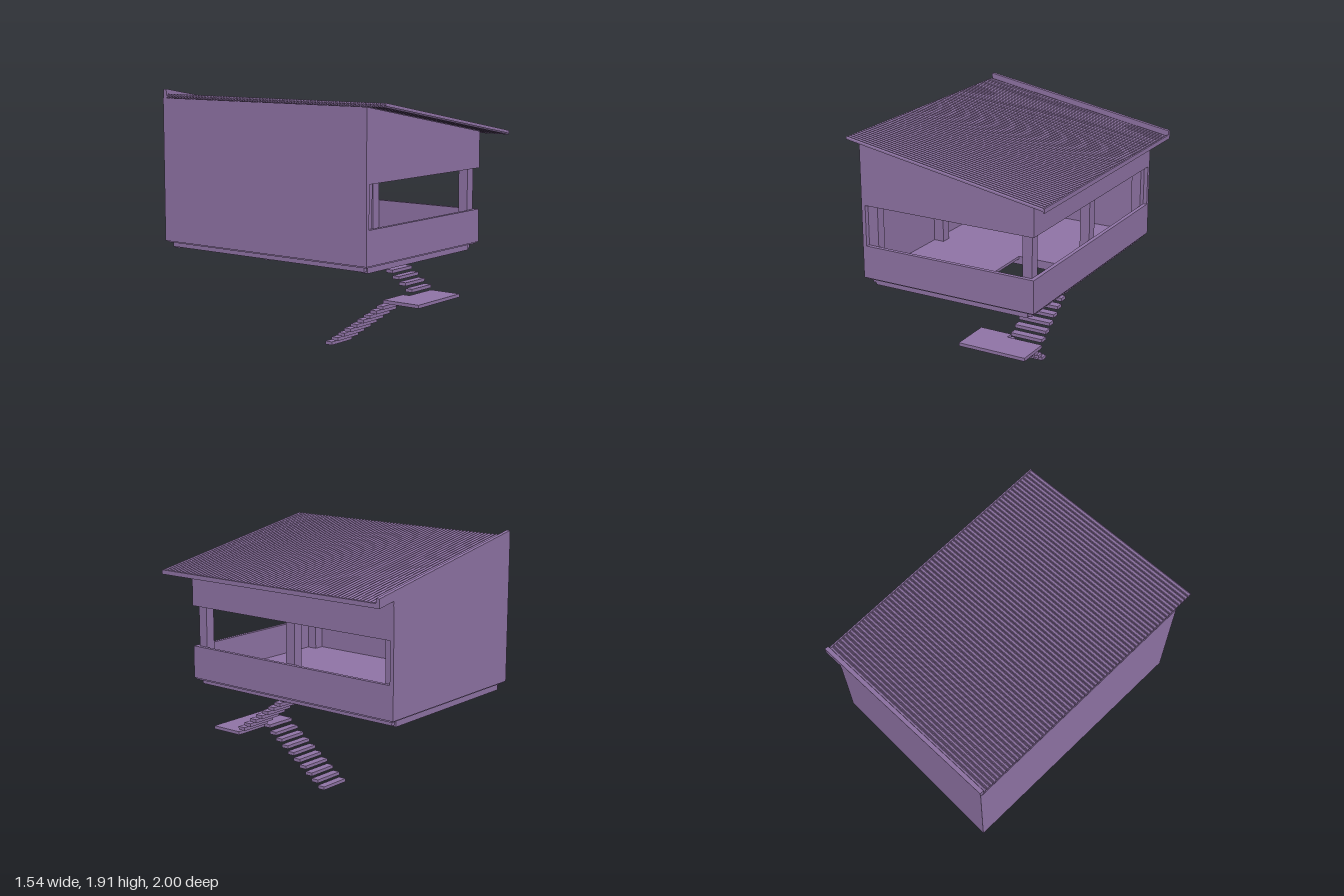
import * as THREE from 'three';

export function createModel() {
  const model = new THREE.Group();
  const purple = new THREE.MeshStandardMaterial({ color: 0x9074a6, side: THREE.DoubleSide });
  purple.name = 'purple';

  const SLOPE = 0.174;
  const roofY = (x) => 1.573 + (0.767 - x) * SLOPE; // underside of the roof

  function add(name, geometry) {
    const mesh = new THREE.Mesh(geometry, purple);
    mesh.name = name;
    model.add(mesh);
    return mesh;
  }
  // box given by its limits on each axis
  function box(name, x0, x1, y0, y1, z0, z1) {
    const g = new THREE.BoxGeometry(x1 - x0, y1 - y0, z1 - z0);
    g.translate((x0 + x1) / 2, (y0 + y1) / 2, (z0 + z1) / 2);
    return add(name, g);
  }
  // tilts a geometry built around y = 0 to the roof pitch
  function pitch(g, lift) {
    const p = g.attributes.position;
    for (let i = 0; i < p.count; i++) p.setY(i, p.getY(i) + roofY(p.getX(i)) + lift);
    g.computeVertexNormals();
    return g;
  }
  function slopedBox(name, x0, x1, y0, y1, z0, z1) {
    const g = new THREE.BoxGeometry(x1 - x0, y1 - y0, z1 - z0);
    g.translate((x0 + x1) / 2, (y0 + y1) / 2, (z0 + z1) / 2);
    return add(name, pitch(g, 0));
  }
  // panel with a level bottom and a top that follows the roof
  function gable(name, x0, x1, y0, z0, z1) {
    const s = new THREE.Shape([
      new THREE.Vector2(x0, y0), new THREE.Vector2(x1, y0),
      new THREE.Vector2(x1, roofY(x1)), new THREE.Vector2(x0, roofY(x0)),
    ]);
    const g = new THREE.ExtrudeGeometry(s, { depth: z1 - z0, bevelEnabled: false });
    g.translate(0, 0, z0);
    return add(name, g);
  }

  // Walls: solid at the back and on the high side, banded around the openings
  box('backWall', -0.77, 0.61, 0.787, 1.565, -1, -0.97);
  gable('backGable', -0.77, 0.615, 1.565, -1, -0.97);
  box('highSideWall', -0.77, -0.74, 0.787, 1.565, -0.97, 0.85);
  gable('highSideTop', -0.77, -0.74, 1.565, -0.97, 0.82);
  box('frontParapet', -0.74, 0.61, 0.787, 1.03, 0.82, 0.85);
  box('frontLintel', -0.74, 0.61, 1.333, 1.565, 0.82, 0.85);
  gable('frontGable', -0.77, 0.615, 1.565, 0.82, 0.85);
  box('lowSideParapet', 0.58, 0.61, 0.787, 1.03, -0.97, 0.82);
  box('lowSideLintel', 0.58, 0.61, 1.333, 1.565, -0.97, 0.82);
  gable('lowSideTop', 0.58, 0.61, 1.565, -0.97, 0.82);

  // Posts, with a rafter and a floor joist on each row
  for (const [z0, z1] of [[0.74, 0.815], [-0.115, -0.035], [-0.97, -0.91]]) {
    for (const [x0, x1] of [[-0.74, -0.66], [0.505, 0.58]]) {
      box('post', x0, x1, 0.787, 1.58, z0, z1);
    }
    slopedBox('rafter', -0.74, 0.58, -0.06, 0, z0, z1);
  }
  for (const z of [0.78, -0.072, -0.947]) {
    box('joist', -0.70, 0.54, 0.73, 0.785, z - 0.027, z + 0.027);
  }
  for (const [x0, x1] of [[-0.73, -0.68], [0.52, 0.57]]) {
    box('sideBeam', x0, x1, 0.742, 0.787, -0.96, 0.80);
  }

  // Floor, open over the stairs
  box('backFloor', -0.75, 0.6, 0.775, 0.795, -0.985, -0.04);
  box('frontFloor', -0.75, 0.0, 0.775, 0.795, -0.04, 0.835);
  box('frontFloorEdge', 0.0, 0.6, 0.775, 0.795, 0.755, 0.835);
  box('sideFloorEdge', 0.54, 0.6, 0.775, 0.795, -0.04, 0.755);

  // Corrugated roof sheet: a wavy band pushed along x, then tilted
  const ridges = 66, perRidge = 6, count = ridges * perRidge;
  const upper = [], lower = [];
  for (let i = 0; i <= count; i++) {
    const z = -1 + (2 * i) / count;
    const wave = 0.009 * Math.sin((i / perRidge) * Math.PI * 2);
    upper.push(new THREE.Vector2(z, wave + 0.007));
    lower.push(new THREE.Vector2(z, wave - 0.007));
  }
  const sheet = new THREE.ExtrudeGeometry(new THREE.Shape([...lower, ...upper.reverse()]),
    { depth: 1.534, bevelEnabled: false });
  sheet.rotateY(Math.PI / 2);
  sheet.translate(-0.767, 0, 0);
  add('roofSheet', pitch(sheet, 0.017));

  // Roof trims
  slopedBox('backFlashing', -0.767, 0.767, 0, 0.066, -1, -0.97);
  slopedBox('eaveTrim', 0.757, 0.767, 0, 0.032, -1, 1);

  // Stairs: lower flight to the landing, then back up to the floor
  const rise = 0.0413, run = 0.0588, thick = 0.025;
  for (let i = 0; i < 10; i++) {
    const z = -0.075 + i * run;
    const y = i < 9 ? i * rise : 0.378;
    box('lowerTread', -0.035, 0.215, y, y + thick, z, z + 0.06);
  }
  box('landing', -0.035, 0.495, 0.378, 0.403, 0.513, 0.765);
  for (let i = 0; i < 8; i++) {
    const y = 0.42 + i * rise, z = 0.455 - i * run;
    box('upperTread', 0.245, 0.495, y, y + thick, z, z + 0.06);
  }

  return model;
}
